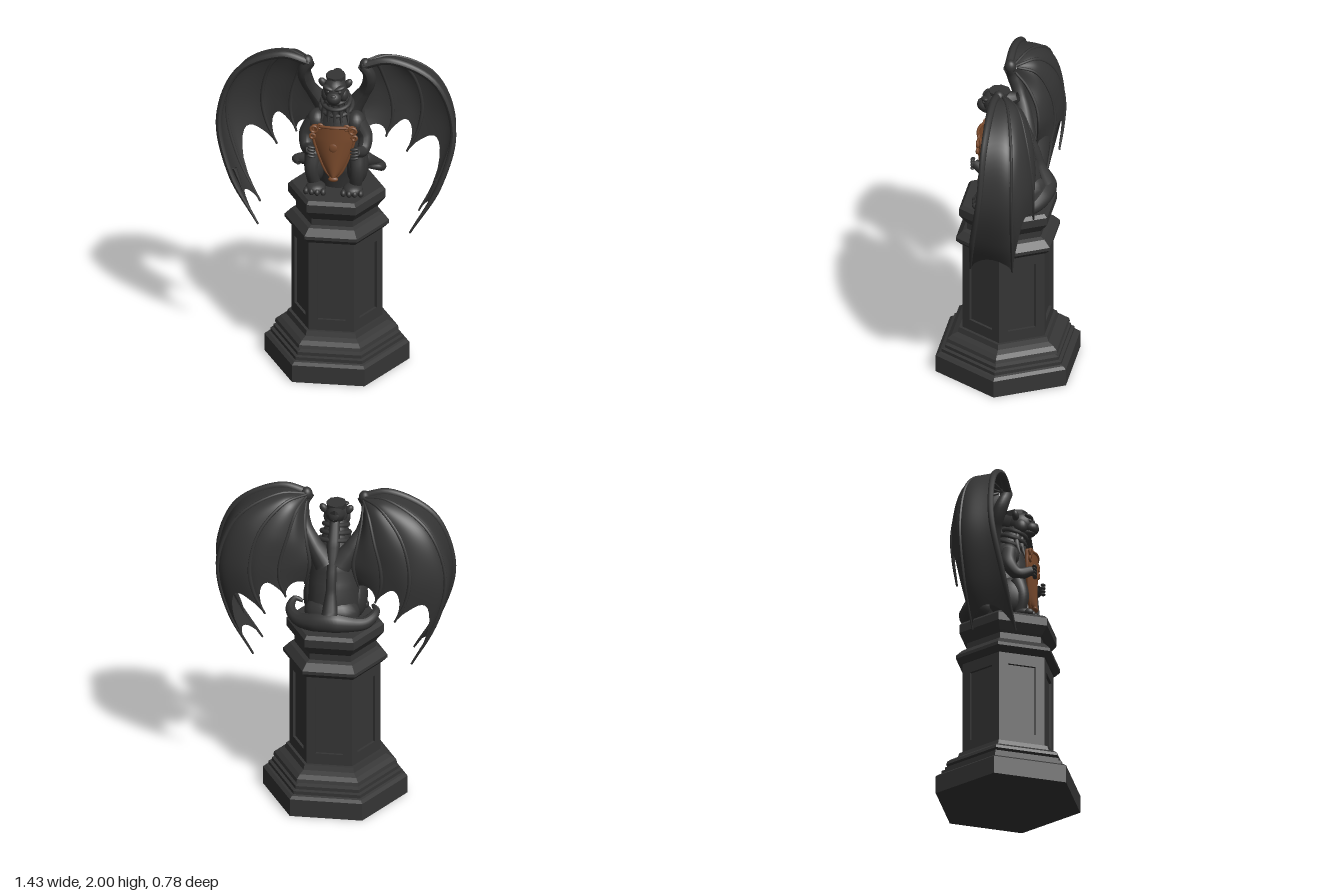
import * as THREE from 'three';

const stone = new THREE.MeshStandardMaterial({ color: 0x353535, side: THREE.DoubleSide });
stone.name = 'charcoal stone';
const bronze = new THREE.MeshStandardMaterial({ color: 0x7a4a2c, side: THREE.DoubleSide });
bronze.name = 'aged bronze';

const V = (x, y, z) => new THREE.Vector3(x, y, z);
const curve = (pts, s = 1) => new THREE.CatmullRomCurve3(pts.map(p => V(s * p[0], p[1], p[2])));

function add(parent, name, geo, mat = stone) {
  const m = new THREE.Mesh(geo, mat);
  m.name = name;
  parent.add(m);
  return m;
}

function faceted(geo) {
  const g = geo.toNonIndexed();
  g.computeVertexNormals();
  return g;
}

// Ellipsoid
function ball(parent, name, pos, radii, rot = [0, 0, 0], mat = stone) {
  const m = add(parent, name, new THREE.SphereGeometry(1, 20, 14), mat);
  m.position.set(...pos);
  m.scale.set(...radii);
  m.rotation.set(...rot);
  return m;
}

// Tube whose radius runs through a list of values along its length
function limb(parent, name, path, radii, seg = 28, sides = 12) {
  const g = new THREE.TubeGeometry(path, seg, 1, sides);
  const p = g.attributes.position, v = V(0, 0, 0);
  for (let i = 0; i <= seg; i++) {
    const c = path.getPointAt(i / seg), f = (i / seg) * (radii.length - 1);
    const k = Math.min(Math.floor(f), radii.length - 2);
    const r = THREE.MathUtils.lerp(radii[k], radii[k + 1], f - k);
    for (let j = 0; j <= sides; j++) {
      const n = i * (sides + 1) + j;
      v.fromBufferAttribute(p, n).sub(c).multiplyScalar(r).add(c);
      p.setXYZ(n, v.x, v.y, v.z);
    }
  }
  g.computeVertexNormals();
  return add(parent, name, g);
}

// Grid surface from f(u, v)
function sheet(f, nu, nv) {
  const pos = [], idx = [];
  for (let j = 0; j <= nv; j++) for (let i = 0; i <= nu; i++) {
    pos.push(...f(i / nu, j / nv).toArray());
    if (i < nu && j < nv) {
      const a = j * (nu + 1) + i, b = a + nu + 1;
      idx.push(a, a + 1, b, a + 1, b + 1, b);
    }
  }
  const g = new THREE.BufferGeometry();
  g.setAttribute('position', new THREE.Float32BufferAttribute(pos, 3));
  g.setIndex(idx);
  g.computeVertexNormals();
  return g;
}

function pedestal() {
  const g = new THREE.Group();
  g.name = 'pedestal';
  g.scale.z = 1.05;
  const profile = [[0, 0], [.43, 0], [.43, .11], [.41, .125], [.395, .13], [.395, .15], [.375, .155], [.375, .175],
    [.345, .185], [.368, .195], [.362, .215], [.335, .235], [.3, .25], [.29, .28], [.252, .28], [.252, .86],
    [.28, .86], [.31, .89], [.31, .91], [.27, .95], [.243, .96], [.243, 1], [.255, 1.015], [.29, 1.06],
    [.29, 1.11], [.27, 1.13], [0, 1.13]].map(p => new THREE.Vector2(...p));
  add(g, 'hexagonalColumn', faceted(new THREE.LatheGeometry(profile, 6, Math.PI / 2)));
  // Raised frame around the sunken panel on each side
  const rect = (S, w, y0, y1) => {
    const s = new S();
    s.moveTo(-w, y0); s.lineTo(w, y0); s.lineTo(w, y1); s.lineTo(-w, y1); s.closePath();
    return s;
  };
  const frame = rect(THREE.Shape, .135, .28, .862);
  frame.holes.push(rect(THREE.Path, .082, .35, .79));
  const geo = new THREE.ExtrudeGeometry(frame, { depth: .018, bevelEnabled: false });
  for (let i = 0; i < 6; i++) {
    const side = new THREE.Group();
    side.name = 'panelSide';
    side.rotation.y = i * Math.PI / 3;
    add(side, 'panelFrame', geo).position.z = .27 * Math.cos(Math.PI / 6) - .018;
    g.add(side);
  }
  return g;
}

function wing(s) {
  const g = new THREE.Group();
  g.name = s > 0 ? 'leftWing' : 'rightWing';
  limb(g, 'wingArm', curve([[.04, 1.54, -.09], [.12, 1.66, -.07], [.185, 1.79, -.02], [.19, 1.88, .015], [.155, 1.935, .03]], s),
    [.075, .052, .038, .04, .03]);
  ball(g, 'wristKnuckle', [s * .172, 1.935, .02], [.034, .042, .035]);
  // Fingers from the leading edge to the one beside the body
  const fingers = [
    [[.16, 1.935, .03], [.32, 1.974, .03], [.58, 1.85, .025], [.695, 1.54, .035], [.62, 1.2, .09], [.45, .9, .135]],
    [[.17, 1.945, 0], [.32, 1.965, -.06], [.56, 1.83, -.13], [.675, 1.53, -.155], [.61, 1.2, -.145], [.47, .92, -.12]],
    [[.17, 1.945, -.015], [.28, 1.935, -.115], [.42, 1.78, -.2], [.475, 1.56, -.24], [.45, 1.39, -.24], [.385, 1.25, -.23]],
    [[.17, 1.935, -.02], [.215, 1.885, -.12], [.26, 1.74, -.19], [.3, 1.58, -.215], [.3, 1.46, -.215], [.265, 1.355, -.2]],
    [[.17, 1.9, -.01], [.17, 1.81, -.08], [.15, 1.69, -.14], [.13, 1.58, -.16], [.14, 1.5, -.155], [.16, 1.42, -.14]],
  ].map(p => curve(p, s));
  // Membrane stretched across the fingers, with a scalloped hem
  const gaps = [.1, .26, .24, .12];
  add(g, 'wingMembrane', sheet((u, v) => {
    const k = Math.min(Math.floor(v * 4), 3), f = v * 4 - k;
    const end = 1 - gaps[k] * Math.pow(Math.max(Math.sin(Math.PI * f), 0), .65);
    const p = new THREE.CatmullRomCurve3(fingers.map(c => c.getPoint(u * end))).getPoint(v);
    p.z -= .01 * Math.sin(Math.PI * u) * Math.sin(Math.PI * f);
    return p;
  }, 36, 48));
  fingers.forEach((c, i) => limb(g, 'wingFinger', c,
    i === 0 ? [.026, .022, .018, .018, .016, .006] : [.008, .01, .01, .012, .006], 40, 8));
  // Small claw branching from the leading finger
  limb(g, 'wingSpur', curve([[.6, 1.22, .06], [.565, 1.13, .07], [.55, 1.08, .075]], s), [.015, .01, .002], 8, 6);
  return g;
}

function head() {
  const g = new THREE.Group();
  g.name = 'head';
  ball(g, 'skull', [0, 1.795, .075], [.07, .075, .08]);
  ball(g, 'muzzle', [0, 1.765, .14], [.045, .04, .045]);
  ball(g, 'nose', [0, 1.785, .168], [.018, .013, .013]);
  ball(g, 'jaw', [0, 1.738, .125], [.036, .024, .042]);
  for (const s of [1, -1]) {
    ball(g, 'brow', [s * .033, 1.825, .132], [.036, .014, .022], [0, s * .4, s * .25]);
    ball(g, 'eye', [s * .033, 1.803, .137], [.014, .012, .012]);
    ball(g, 'cheek', [s * .05, 1.765, .085], [.03, .045, .04]);
    ball(g, 'ear', [s * .075, 1.825, .06], [.022, .032, .02], [0, 0, -s * .6]);
  }
  // Flared crest over the crown and nape
  const crest = add(g, 'crest', faceted(new THREE.CylinderGeometry(.07, .06, .06, 8)));
  crest.position.set(0, 1.845, .05);
  crest.scale.set(.85, 1, .95);
  limb(g, 'napeCrest', curve([[0, 1.81, .03], [0, 1.825, -.02], [0, 1.84, -.06]]), [.06, .048, .03], 10, 8);
  return g;
}

function creature() {
  const g = new THREE.Group();
  g.name = 'seatedGargoyle';
  limb(g, 'torso', curve([[0, 1.13, -.06], [0, 1.28, -.06], [0, 1.43, -.03], [0, 1.56, -.01], [0, 1.66, .01], [0, 1.76, .06]]),
    [.12, .155, .15, .135, .085, .06], 32, 20);
  ball(g, 'rump', [0, 1.24, -.13], [.165, .11, .115]);
  limb(g, 'spineRidge', curve([[0, 1.78, -.01], [0, 1.66, -.075], [0, 1.5, -.155], [0, 1.35, -.2], [0, 1.27, -.23]]),
    [.03, .04, .03, .03, .05]);
  // Mane folds lying on the chest and ringed around the nape
  for (let i = -2; i <= 2; i++) {
    const x = i * .024, z = -.007 * i * i;
    limb(g, 'maneLock', curve([[x, 1.73, z + .098], [x * 1.4, 1.66, z + .092], [x * 1.7, 1.57, z + .118]]), [.012, .016, .004], 10, 6);
  }
  for (let i = 0; i < 3; i++) {
    const ring = add(g, 'napeFold', new THREE.TorusGeometry(.07 + i * .012, .014, 8, 24));
    ring.position.set(0, 1.735 - i * .04, .042 - i * .018);
    ring.rotation.x = Math.PI / 2 + .35;
  }
  for (const s of [1, -1]) {
    ball(g, 'shoulder', [s * .115, 1.55, .02], [.06, .075, .07]);
    limb(g, 'arm', curve([[.13, 1.56, .03], [.175, 1.47, .04], [.165, 1.405, .09], [.135, 1.43, .17]], s), [.05, .045, .038, .028]);
    ball(g, 'haunch', [s * .125, 1.275, .02], [.065, .125, .12], [.3, 0, 0]);
    limb(g, 'shin', curve([[.13, 1.37, .08], [.135, 1.27, .11], [.12, 1.16, .09]], s), [.05, .042, .035], 14);
    ball(g, 'foot', [s * .11, 1.16, .12], [.06, .035, .065]);
    for (let i = 0; i < 4; i++) {
      ball(g, 'toe', [s * (.06 + i * .034), 1.152, .172 - Math.abs(i - 1.2) * .008], [.017, .022, .026]);
      ball(g, 'clawedFinger', [s * .128, 1.395 + i * .02, .185], [.026, .009, .014], [0, 0, s * .2]);
    }
  }
  // Tail wrapped around the base with a curled end
  limb(g, 'tail', curve([[-.23, 1.24, -.02], [-.255, 1.235, -.08], [-.2, 1.2, -.17], [0, 1.22, -.225], [.19, 1.195, -.17],
    [.255, 1.22, -.08], [.235, 1.25, -.01], [.19, 1.24, -.02]]), [.012, .032, .045, .065, .06, .04, .028, .01], 48);
  g.add(head(), wing(1), wing(-1));
  return g;
}

function shield() {
  const g = new THREE.Group();
  g.name = 'shield';
  const at = (u, v) => {
    const a = 2 * u - 1;
    return V(a * .122 * Math.pow(Math.min(1, v / .75), .55), 1.235 + .338 * v + .012 * v * (1 - a * a), .176 - .04 * a * a);
  };
  add(g, 'shieldFace', sheet(at, 16, 24), bronze);
  // Raised rim, bosses and scrolled ornament
  const rim = [];
  for (let i = 0; i <= 10; i++) rim.push(at(0, 1 - i / 10));
  for (let i = 1; i <= 10; i++) rim.push(at(1, i / 10));
  for (let i = 1; i < 6; i++) rim.push(at(1 - i / 6, 1));
  add(g, 'shieldRim', new THREE.TubeGeometry(new THREE.CatmullRomCurve3(rim, true), 80, .009, 8, true), bronze);
  for (const s of [1, -1]) {
    for (const [x, y, r] of [[.115, 1.56, .02], [.078, 1.58, .014], [.124, 1.515, .014]]) {
      add(g, 'scroll', new THREE.TorusGeometry(r, .008, 8, 16), bronze).position.set(s * x, y, .158);
    }
  }
  ball(g, 'boss', [0, 1.45, .172], [.026, .03, .009], [0, 0, 0], bronze);
  ball(g, 'pointFinial', [0, 1.24, .165], [.03, .016, .016], [0, 0, 0], bronze);
  return g;
}

export function createModel() {
  const model = new THREE.Group();
  model.name = 'gargoyleStatue';
  model.add(pedestal(), creature(), shield());
  return model;
}
